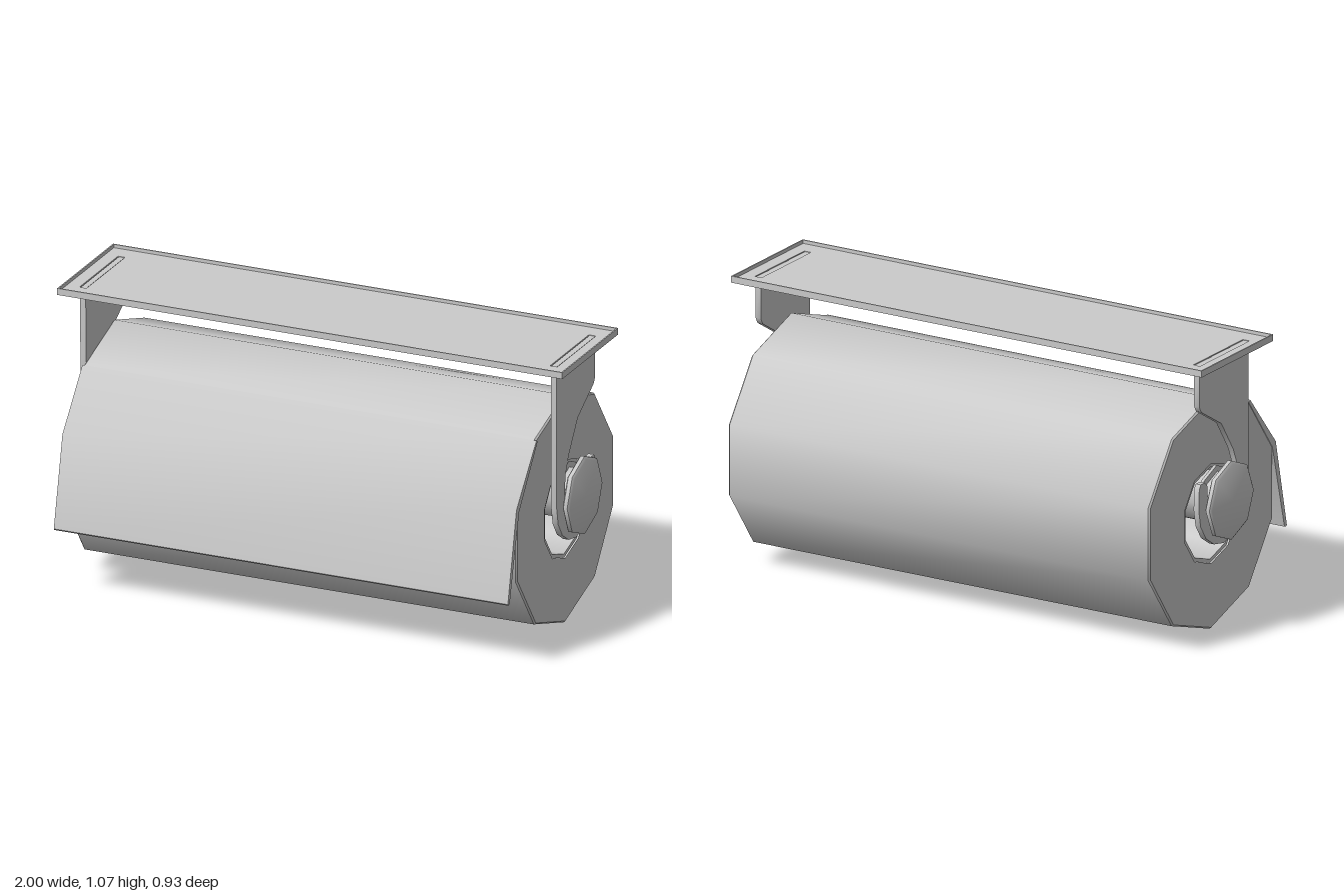
import * as THREE from 'three';
import { toCreasedNormals } from 'three/addons/utils/BufferGeometryUtils.js';

const material = new THREE.MeshStandardMaterial({ color: 0xcccccc, side: THREE.DoubleSide });
const AXIS_Z = -0.045;

function part(name, geometry, crease = 0.7) {
  const mesh = new THREE.Mesh(toCreasedNormals(geometry, crease), material);
  mesh.name = name;
  return mesh;
}

// Lathe lying along x; profile points are [radius, x]
function latheX(profile, sides, y) {
  const points = profile.map(([r, x]) => new THREE.Vector2(r, x));
  return new THREE.LatheGeometry(points, sides, Math.PI / 2)
    .rotateZ(-Math.PI / 2).translate(0, y, AXIS_Z);
}

// Side profile of [z, y] points, extruded from x0 to x1
function extrudeX(profile, x0, x1) {
  const shape = new THREE.Shape(profile.map(([z, y]) => new THREE.Vector2(-z, y)));
  return new THREE.ExtrudeGeometry(shape, { depth: x1 - x0, bevelEnabled: false })
    .rotateY(Math.PI / 2).translate(x0, 0, 0);
}

// Rectangle path in the plan, given its centre and size
function rect(path, x, z, w, d) {
  path.moveTo(x - w / 2, -z - d / 2);
  path.lineTo(x + w / 2, -z - d / 2);
  path.lineTo(x + w / 2, -z + d / 2);
  path.lineTo(x - w / 2, -z + d / 2);
  path.closePath();
  return path;
}

function extrudeY(shape, y0, y1) {
  return new THREE.ExtrudeGeometry(shape, { depth: y1 - y0, bevelEnabled: false })
    .rotateX(-Math.PI / 2).translate(0, y0, 0);
}

function arc(r, from, to, steps) {
  return Array.from({ length: steps + 1 }, (_, i) => {
    const a = from + (to - from) * i / steps;
    return [AXIS_Z + r * Math.cos(a), 0.51 + r * Math.sin(a)];
  });
}

export function createModel() {
  const group = new THREE.Group();

  // Paper roll with chamfered rims, open through the middle
  group.add(part('paperRoll', latheX([
    [0.19, -0.89], [0.434, -0.89], [0.44, -0.884], [0.44, 0.894], [0.434, 0.9], [0.19, 0.9],
  ], 10, 0.445)));

  // Tube lining the roll
  group.add(part('innerTube', latheX([
    [0.175, -0.885], [0.19, -0.885], [0.19, 0.895], [0.175, 0.895], [0.175, -0.885],
  ], 10, 0.445)));

  // Loose sheet hanging at the front
  group.add(part('looseSheet', extrudeX([
    [0.205, 0.795], [0.215, 0.802], [0.388, 0.595], [0.463, 0.256], [0.458, 0.25],
    [0.447, 0.253], [0.365, 0.58],
  ], -0.893, 0.905)));

  // Spindle with collars and end caps, one mirrored profile
  const half = [
    [0.1, 0.9], [0.122, 0.902], [0.122, 0.914], [0.1, 0.916], [0.1, 0.955],
    [0.142, 0.955], [0.15, 0.961], [0.15, 0.976], [0.14, 0.983], [0, 0.983],
  ];
  const mirrored = half.map(([r, x]) => [r, -x]).reverse();
  group.add(part('spindle', latheX([...mirrored, ...half], 8, 0.51), 0.8));

  // Hooked side brackets cradling the spindle
  const hook = [
    [0.125, 1.06],
    ...arc(0.168, 0, -Math.PI, 8),
    [-0.21, 0.59], [-0.2, 0.607], [-0.172, 0.607], [-0.155, 0.59],
    ...arc(0.105, -Math.PI, 0, 8).map(([z, y]) => [z, y]),
    [0.045, 0.62], [0.02, 0.68], [-0.06, 0.8], [-0.197, 0.882], [-0.21, 0.905], [-0.21, 1.06],
  ];
  for (const [name, x] of [['leftBracket', 0.932], ['rightBracket', -0.932]]) {
    group.add(part(name, extrudeX(hook, x - 0.011, x + 0.011)));
  }

  // Mounting plate with a slot over each bracket and a thin raised rim
  const plateZ = -0.0425;
  const plate = rect(new THREE.Shape(), 0, plateZ, 2, 0.485);
  for (const x of [-0.932, 0.932]) {
    plate.holes.push(rect(new THREE.Path(), x, plateZ, 0.028, 0.335));
  }
  group.add(part('mountingPlate', extrudeY(plate, 1.05, 1.062)));

  const rim = rect(new THREE.Shape(), 0, plateZ, 2, 0.485);
  rim.holes.push(rect(new THREE.Path(), 0, plateZ, 1.99, 0.475));
  group.add(part('plateRim', extrudeY(rim, 1.062, 1.075)));

  return group;
}
